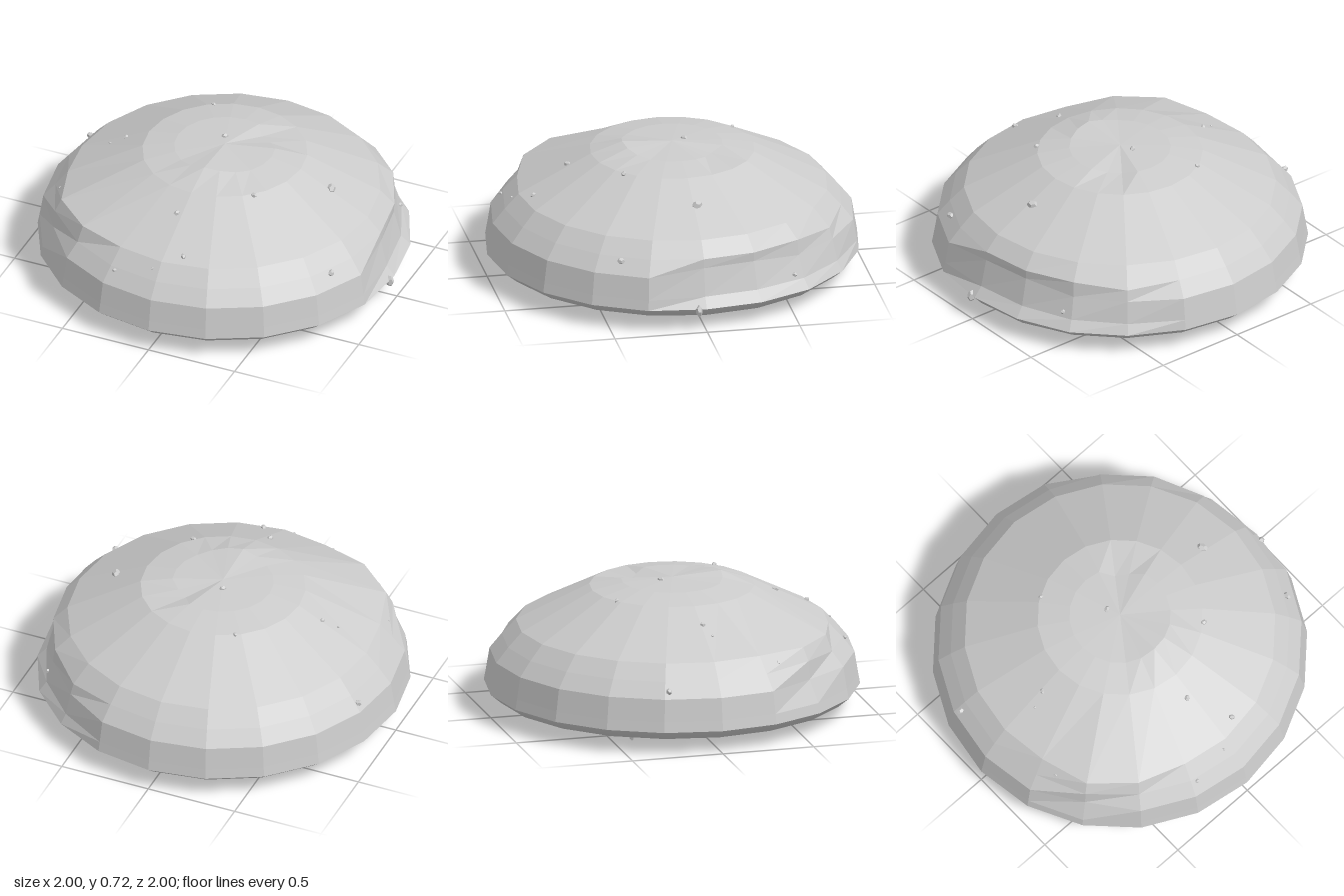
import * as THREE from 'three';

const SIDES = 20;
// [radius, height] rings, bottom to top
const BASE = [[0, 0], [0.2, 0], [0.45, 0.025], [0.78, 0.035], [0.94, 0.075], [1, 0.125]];
const DOME = [[1, 0.125], [0.99, 0.18], [0.97, 0.3], [0.905, 0.38], [0.83, 0.46], [0.44, 0.66], [0.27, 0.69], [0, 0.702]];

// Chips and bulges in the dome: 'ring,side' -> [radius factor, height offset]
const CHIPS = {
  // chipped flank on the left towards the back
  '0,0': [0.985, 0], '0,19': [0.99, 0],
  '1,0': [0.95, 0], '1,19': [0.95, 0], '1,18': [0.97, 0], '1,17': [0.98, 0],
  '2,0': [0.935, 0.03], '2,19': [0.93, 0.03], '2,18': [0.95, 0], '2,17': [0.97, 0],
  '3,18': [1.01, 0.005], '3,17': [1.02, -0.02],
  // overhanging shoulder on the right towards the front
  '2,8': [0.96, 0], '3,8': [1.02, 0.02], '4,8': [1.07, 0.01], '4,9': [1.01, 0.005], '4,7': [1.05, 0.01],
  // uneven crown
  '6,4': [1, 0.02], '6,5': [1, 0.028], '6,6': [1, 0.012], '6,3': [1, 0.008],
  '6,17': [0.85, -0.02], '6,18': [0.9, -0.015],
};

// Closed bands of quads through a stack of rings
function shell(rings, tweaks = {}) {
  const pos = [], index = [];
  rings.forEach(([r, y], i) => {
    for (let j = 0; j < SIDES; j++) {
      const [k, dy] = tweaks[`${i},${j}`] || [1, 0];
      const a = (j / SIDES) * Math.PI * 2;
      pos.push(Math.cos(a) * r * k, y + dy, Math.sin(a) * r * k);
    }
  });
  for (let i = 0; i < rings.length - 1; i++) {
    for (let j = 0; j < SIDES; j++) {
      const a = i * SIDES + j, b = i * SIDES + (j + 1) % SIDES;
      const c = a + SIDES, d = b + SIDES;
      if (rings[i][0] > 0) index.push(a, c, b);
      if (rings[i + 1][0] > 0) index.push(b, c, d);
    }
  }
  const g = new THREE.BufferGeometry();
  g.setAttribute('position', new THREE.Float32BufferAttribute(pos, 3));
  g.setIndex(index);
  g.computeVertexNormals();
  return g;
}

// Height of a profile at a given radius
function heightAt(rings, r) {
  for (let i = 0; i < rings.length - 1; i++) {
    const [r0, y0] = rings[i], [r1, y1] = rings[i + 1];
    if (r0 !== r1 && (r - r0) * (r - r1) <= 0) return y0 + (y1 - y0) * (r - r0) / (r1 - r0);
  }
  return rings[0][1];
}

// Pebbles as [x, z, size]
const TOP_PEBBLES = [
  [-0.9, -0.27, 0.022], [-0.57, 0.01, 0.016], [-0.23, -0.37, 0.015], [-0.03, -0.07, 0.02],
  [0.61, -0.02, 0.03], [-0.79, 0.36, 0.02], [0.81, 0.43, 0.022], [0.31, 0.32, 0.018],
  [-0.03, 0.56, 0.019], [0.1, 0.77, 0.018], [-0.25, 0.88, 0.014], [-0.04, 0.86, 0.008], [-0.65, 0.04, 0.008],
];
const UNDER_PEBBLES = [
  [0.27, -0.2, 0.025], [0.27, -0.03, 0.016], [0.49, 0.29, 0.016], [0.14, 0.42, 0.014], [-0.13, 0.33, 0.016],
  [0.03, 0.68, 0.014], [-0.56, 0.3, 0.014], [-0.43, -0.21, 0.016], [-0.59, -0.12, 0.012],
  [0.08, -0.67, 0.012], [0.35, -0.55, 0.012], [0.75, -0.3, 0.012], [0.08, -0.56, 0.012],
];

export function createModel() {
  const group = new THREE.Group();
  const flat = new THREE.MeshStandardMaterial({ color: 0xcccccc, flatShading: true });
  const smooth = new THREE.MeshStandardMaterial({ color: 0xcccccc });

  const add = (name, geometry, material) => {
    const mesh = new THREE.Mesh(geometry, material);
    mesh.name = name;
    group.add(mesh);
    return mesh;
  };

  // Faceted upper body and smooth underside sharing one rim
  add('dome', shell(DOME, CHIPS), flat);
  const under = BASE.length - 1;
  add('underside', shell(BASE, { [`${under},0`]: [0.985, 0], [`${under},19`]: [0.99, 0] }), smooth);

  // Small stones stuck to the surface
  const stone = new THREE.DodecahedronGeometry(1, 0);
  let count = 0;
  const pebble = (x, y, z, size, stretch = 1) => {
    const m = add('pebble', stone, flat);
    m.position.set(x, y, z);
    m.scale.set(size, size * 0.8 * stretch, size * 0.75);
    if (stretch === 1) m.rotation.set(0, count * 1.3, 0);
    count++;
  };
  for (const [x, z, s] of TOP_PEBBLES) pebble(x, heightAt(DOME, Math.hypot(x, z)), z, s);
  for (const [x, z, s] of UNDER_PEBBLES) pebble(x, heightAt(BASE, Math.hypot(x, z)) + s * 0.35, z, s);

  // Stones on the rim, in the chipped flank and hanging underneath
  pebble(0.975, 0.115, 0.04, 0.025, 1.7);
  pebble(0.79, 0.21, -0.51, 0.017);
  pebble(-0.63, 0.025, -0.4, 0.017, 1.8);
  return group;
}
